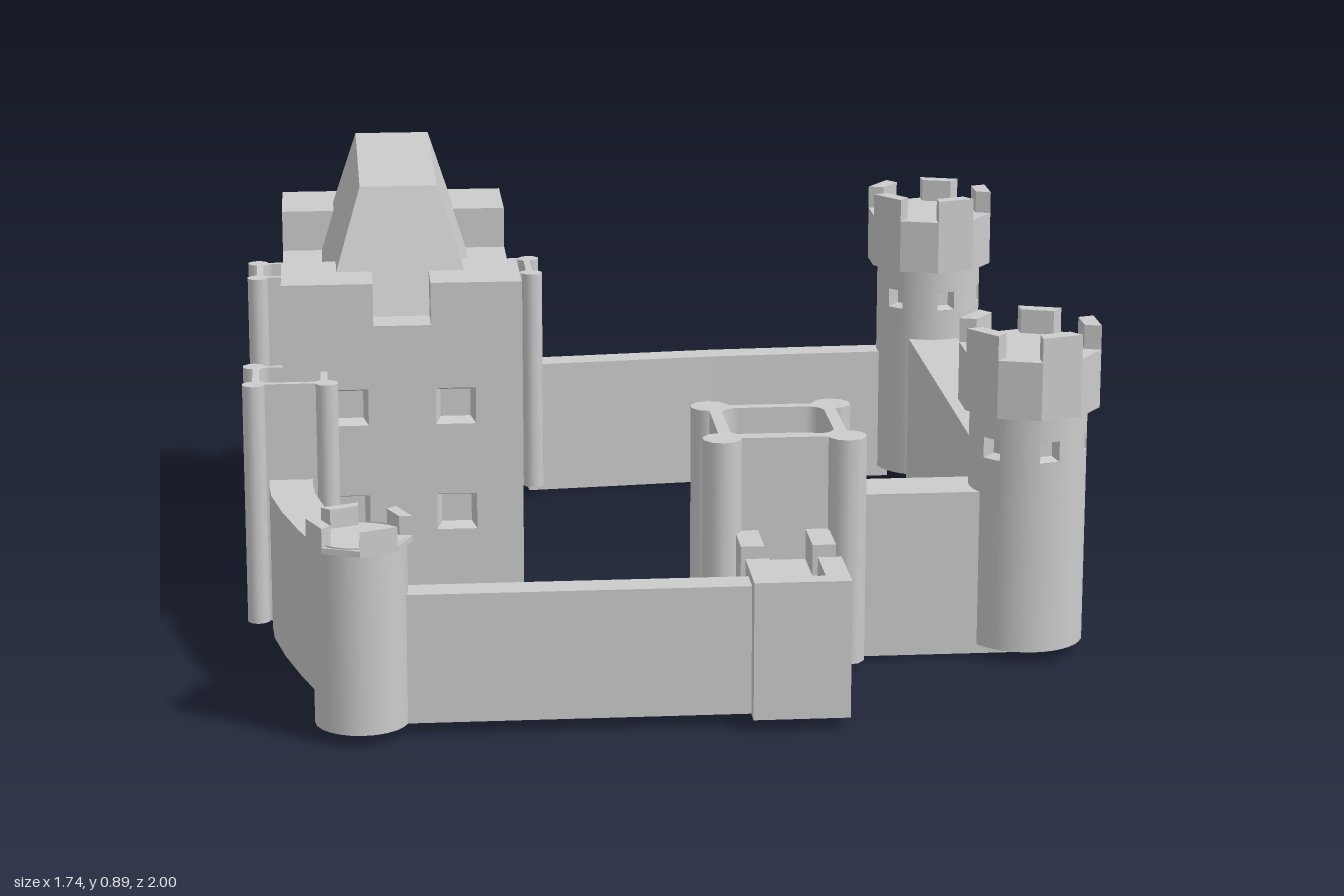
import * as THREE from 'three';

const mat = new THREE.MeshStandardMaterial({ color: 0xcccccc, side: THREE.DoubleSide });
const flat = new THREE.MeshStandardMaterial({ color: 0xcccccc, side: THREE.DoubleSide, flatShading: true });
const BASE = 0.025;
const rad = THREE.MathUtils.degToRad;

function add(parent, name, geo, x = 0, y = 0, z = 0, material = mat) {
  const mesh = new THREE.Mesh(geo, material);
  mesh.name = name;
  mesh.position.set(x, y, z);
  parent.add(mesh);
  return mesh;
}

function group(parent, name, x = 0, y = 0, z = 0) {
  const g = new THREE.Group();
  g.name = name;
  g.position.set(x, y, z);
  parent.add(g);
  return g;
}

// Box given by its limits, optionally without a bottom
function block(parent, name, x0, x1, y0, y1, z0, z1, open = false) {
  const geo = new THREE.BoxGeometry(x1 - x0, y1 - y0, z1 - z0);
  if (open) {
    const idx = Array.from(geo.index.array);
    idx.splice(18, 6);
    geo.setIndex(idx);
  }
  return add(parent, name, geo, (x0 + x1) / 2, (y0 + y1) / 2, (z0 + z1) / 2);
}

// Plan shape (x, z) raised to a height
function raise(shape, height) {
  return new THREE.ExtrudeGeometry(shape, { depth: height, bevelEnabled: false, curveSegments: 6 }).rotateX(-Math.PI / 2);
}

// Window recess that narrows inward, open at its front (z = 0)
function pocket(w, h, depth, taper) {
  const geo = new THREE.BoxGeometry(w, h, depth).translate(0, 0, -depth / 2);
  const p = geo.attributes.position;
  for (let i = 0; i < p.count; i++) {
    if (p.getZ(i) < -depth / 2) p.setXY(i, p.getX(i) * taper, p.getY(i) * taper);
  }
  const idx = Array.from(geo.index.array);
  idx.splice(24, 6);
  geo.setIndex(idx);
  geo.computeVertexNormals();
  return geo;
}

// Flat wall with a grid of recessed windows
function windowWall(parent, name, w, h, cols, rows, x, z, turn) {
  const g = group(parent, name, x, BASE, z);
  g.rotation.y = turn;
  const shape = new THREE.Shape([[-w / 2, 0], [w / 2, 0], [w / 2, h], [-w / 2, h]].map(p => new THREE.Vector2(...p)));
  const a = 0.042, b = 0.039;
  for (const cx of cols) for (const row of rows) {
    const cy = row - BASE;
    shape.holes.push(new THREE.Path([[-a, -b], [-a, b], [a, b], [a, -b]].map(p => new THREE.Vector2(cx + p[0], cy + p[1]))));
    add(g, 'windowRecess', pocket(2 * a, 2 * b, 0.03, 0.75), cx, cy, 0, flat);
  }
  add(g, 'wallFace', new THREE.ShapeGeometry(shape));
}

// Curtain wall following a plan path
function curtain(parent, name, pts, width, y0, y1, steps = 1) {
  const curve = new THREE.CatmullRomCurve3(pts.map(p => new THREE.Vector3(p[0], 0, p[1])));
  const left = [], right = [];
  for (let i = 0; i <= steps; i++) {
    const p = curve.getPoint(i / steps), t = curve.getTangent(i / steps);
    const nx = -t.z * width / 2, nz = t.x * width / 2;
    left.push(new THREE.Vector2(p.x + nx, -(p.z + nz)));
    right.unshift(new THREE.Vector2(p.x - nx, -(p.z - nz)));
  }
  add(parent, name, raise(new THREE.Shape([...left, ...right]), y1 - y0), 0, y0, 0);
}

// Square turret with round corner shafts and a sunken top
function squareTurret(parent, name, x, z, s, top) {
  const g = group(parent, name, x, 0, z);
  const b = 0.13 * s, i = 0.105 * s, r = 0.035 * s, floor = top - 0.055 * s;
  block(g, 'body', -b, b, BASE, floor, -b, b, true);
  const rim = new THREE.Shape([[-b, -b], [b, -b], [b, b], [-b, b]].map(p => new THREE.Vector2(...p)));
  const hole = new THREE.Path();
  hole.absarc(i - r, i - r, r, 0, Math.PI / 2);
  hole.absarc(r - i, i - r, r, Math.PI / 2, Math.PI);
  hole.absarc(r - i, r - i, r, Math.PI, Math.PI * 1.5);
  hole.absarc(i - r, r - i, r, Math.PI * 1.5, Math.PI * 2);
  hole.closePath();
  rim.holes.push(hole);
  add(g, 'rim', raise(rim, top - floor), 0, floor, 0);
  for (const sx of [-1, 1]) for (const sz of [-1, 1]) {
    add(g, 'cornerShaft', new THREE.CylinderGeometry(0.04 * s, 0.04 * s, top - BASE, 10),
      sx * 0.126 * s, (top + BASE) / 2, sz * 0.126 * s);
  }
}

// Crown with one merlon on every second side
function crown(parent, r, y0, y1, y2, sides, thick) {
  add(parent, 'crown', new THREE.CylinderGeometry(r, r, y1 - y0, sides), 0, (y0 + y1) / 2, 0, flat);
  const step = 2 * Math.PI / sides;
  for (let k = 0; k < sides; k += 2) {
    const at = (a, q) => new THREE.Vector2(Math.sin(a) * q, -Math.cos(a) * q);
    const a = k * step, b = a + step;
    add(parent, 'merlon', raise(new THREE.Shape([at(a, r), at(b, r), at(b, r - thick), at(a, r - thick)]), y2 - y1), 0, y1, 0);
  }
}

// Open cylinder band
function band(parent, name, r, y0, y1, segs, start = 0, length = Math.PI * 2) {
  add(parent, name, new THREE.CylinderGeometry(r, r, y1 - y0, segs, 1, true, start, length), 0, (y0 + y1) / 2, 0);
}

// Tall round tower with a ring of six small windows
function roundTower(parent, name, x, z) {
  const g = group(parent, name, x, 0, z);
  const r = 0.12, w0 = 0.425, w1 = 0.468;
  band(g, 'shaft', r, BASE, w0, 36, rad(2));
  band(g, 'shaftTop', r, w1, 0.53, 36, rad(2));
  for (let k = 0; k < 6; k++) {
    const a = rad(12 + 60 * k);
    band(g, 'windowPier', r, w0, w1, 4, a + rad(10), rad(40));
    const q = r * Math.cos(rad(10));
    const recess = add(g, 'windowRecess', pocket(0.0417, w1 - w0, 0.025, 0.7), Math.sin(a) * q, (w0 + w1) / 2, Math.cos(a) * q, flat);
    recess.rotation.y = a;
  }
  crown(g, 0.145, 0.52, 0.64, 0.69, 10, 0.035);
}

function keep(parent) {
  const g = group(parent, 'keep');
  const x0 = -0.79, x1 = -0.29, z0 = -0.81, z1 = 0.15, deck = 0.63;
  const cx = (x0 + x1) / 2, cz = (z0 + z1) / 2, h = deck - BASE;
  const ends = [-0.115, 0.11], sides = [-0.335, -0.115, 0.09, 0.32];
  windowWall(g, 'frontWall', x1 - x0, h, ends, [0.455, 0.225], cx, z1, 0);
  windowWall(g, 'backWall', x1 - x0, h, ends, [0.455, 0.225], cx, z0, Math.PI);
  windowWall(g, 'leftWall', z1 - z0, h, sides, [0.45, 0.335, 0.18], x1, cz, Math.PI / 2);
  windowWall(g, 'rightWall', z1 - z0, h, sides.map(v => -v), [0.45, 0.335, 0.18], x0, cz, -Math.PI / 2);
  add(g, 'deck', new THREE.PlaneGeometry(x1 - x0, z1 - z0).rotateX(-Math.PI / 2), cx, deck, cz);
  // Raised corners of the parapet
  for (const [a, b] of [[x0, -0.6], [-0.48, x1]]) for (const [c, d] of [[z0, -0.59], [-0.07, z1]]) {
    block(g, 'cornerParapet', a, b, deck, 0.72, c, d, true);
  }
  // Hipped roof with a flat ridge
  const roof = new THREE.BoxGeometry(0.325, 0.26, 0.785);
  const p = roof.attributes.position;
  for (let i = 0; i < p.count; i++) {
    if (p.getY(i) > 0) p.setXYZ(i, p.getX(i) * 0.5, p.getY(i), p.getZ(i) * 0.765);
  }
  add(g, 'roof', roof, -0.54, 0.76, -0.328, flat);
}

export function createModel() {
  const model = new THREE.Group();
  model.name = 'castle';
  keep(model);
  squareTurret(model, 'backRightTurret', -0.775, -0.813, 0.6, 0.535);
  squareTurret(model, 'backLeftTurret', -0.295, -0.813, 0.6, 0.535);
  squareTurret(model, 'frontRightTurret', -0.775, 0.17, 0.6, 0.535);
  squareTurret(model, 'gatehouse', 0.21, 0.475, 1, 0.495);
  roundTower(model, 'frontRoundTower', 0.725, 0.475);
  roundTower(model, 'backRoundTower', 0.725, -0.855);

  // Small round corner tower
  const small = group(model, 'smallRoundTower', -0.645, 0, 0.893);
  band(small, 'shaft', 0.092, BASE, 0.4, 24);
  crown(small, 0.102, 0.385, 0.397, 0.435, 8, 0.025);

  // Gate forework with a stepped parapet
  const gate = group(model, 'forework');
  block(gate, 'body', 0.11, 0.3, BASE, 0.24, 0.6, 0.96, true);
  block(gate, 'frontParapet', 0.11, 0.3, 0.24, 0.303, 0.922, 0.96);
  for (const [a, b] of [[0.11, 0.157], [0.253, 0.3]]) {
    block(gate, 'sideParapet', a, b, 0.24, 0.303, 0.8, 0.922);
    block(gate, 'rearParapet', a, b, 0.24, 0.303, 0.6, 0.717);
  }

  // Curtain walls
  curtain(model, 'frontCurtain', [[-0.57, 0.888], [0.12, 0.888]], 0.065, BASE, 0.285);
  curtain(model, 'gateCurtain', [[0.33, 0.472], [0.71, 0.472]], 0.115, 0.005, 0.35);
  curtain(model, 'leftCurtain', [[0.723, 0.4], [0.723, -0.76]], 0.115, 0.005, 0.355);
  curtain(model, 'backCurtain', [[-0.23, -0.81], [0, -0.832], [0.21, -0.852], [0.63, -0.867]], 0.066, 0, 0.305, 6);
  curtain(model, 'rightCurtain', [[-0.777, 0.22], [-0.773, 0.36], [-0.72, 0.6], [-0.65, 0.83]], 0.09, BASE, 0.33, 6);
  return model;
}
